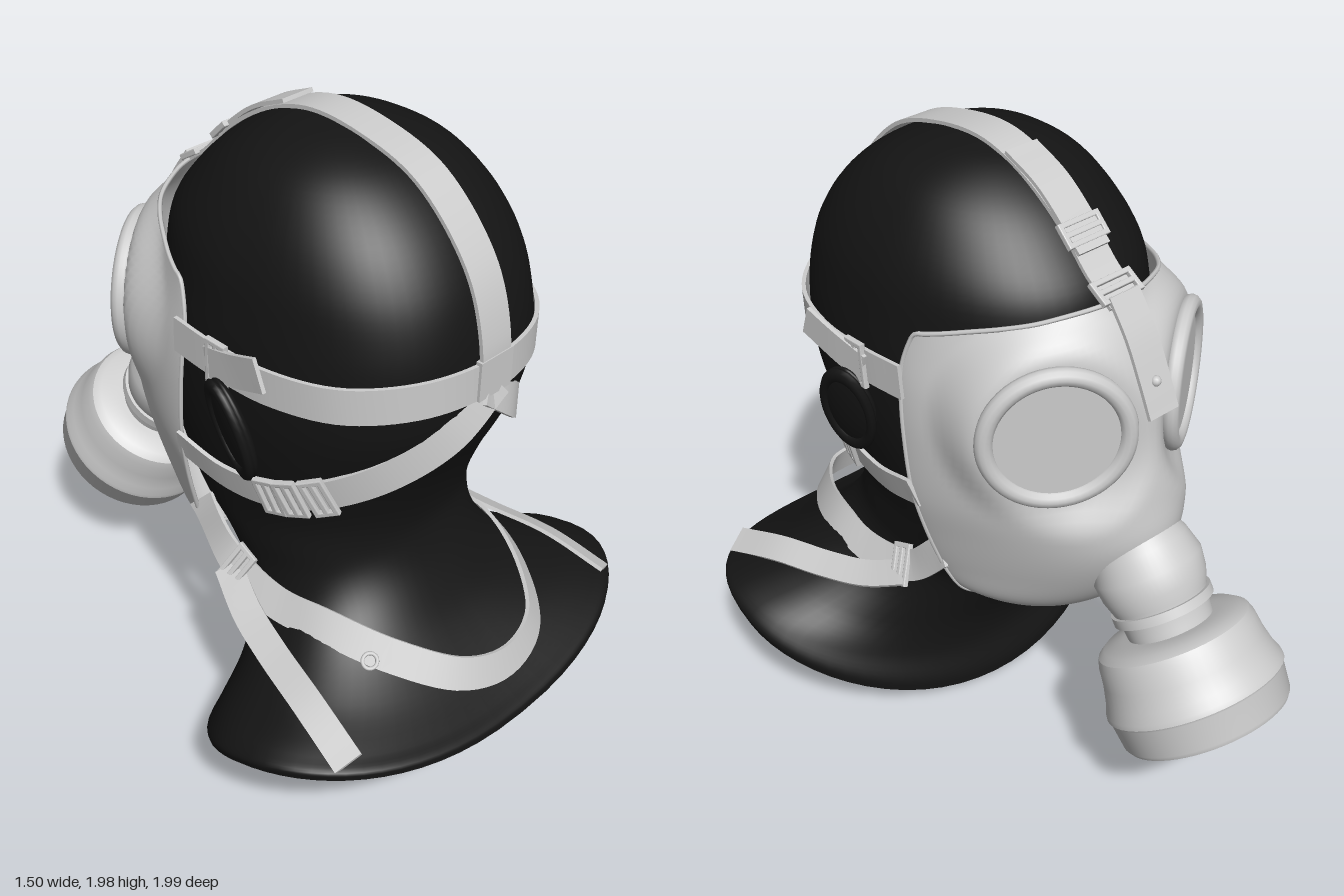
import * as THREE from 'three';
import { toCreasedNormals } from 'three/addons/utils/BufferGeometryUtils.js';

const V = (x, y, z) => new THREE.Vector3(x, y, z);
const grey = new THREE.MeshStandardMaterial({ color: 0xcccccc });
const greyThin = new THREE.MeshStandardMaterial({ color: 0xcccccc, side: THREE.DoubleSide });
const black = new THREE.MeshStandardMaterial({ color: 0x141414, side: THREE.DoubleSide });

function add(parent, name, geometry, material = grey) {
  const mesh = new THREE.Mesh(geometry, material);
  mesh.name = name;
  parent.add(mesh);
  return mesh;
}

// Skin over rows of points; rows run "down", columns run to the right seen from outside
function skin(rows, closed) {
  const n = rows[0].length, index = [];
  for (let i = 0; i < rows.length - 1; i++) {
    for (let j = 0; j < (closed ? n : n - 1); j++) {
      const k = (j + 1) % n, a = i * n, b = a + n;
      index.push(a + j, b + j, a + k, a + k, b + j, b + k);
    }
  }
  const g = new THREE.BufferGeometry().setFromPoints(rows.flat());
  g.setIndex(index);
  g.computeVertexNormals();
  return g;
}

// Smooth a few cross-sections into many rows
function smoothRows(sections, count) {
  const columns = sections[0].map((_, j) =>
    new THREE.CatmullRomCurve3(sections.map(s => s[j])).getPoints(count));
  return Array.from({ length: count + 1 }, (_, i) => columns.map(c => c[i]));
}

// Rectangular frame with a cross bar, in the xy plane (x along the strap)
function buckleGeometry(w, h) {
  const s = new THREE.Shape();
  const rect = (p, x0, x1, y) => p.moveTo(x0, -y).lineTo(x1, -y).lineTo(x1, y).lineTo(x0, y).closePath();
  rect(s, -w / 2, w / 2, h / 2);
  s.holes.push(rect(new THREE.Path(), -w / 2 + 0.01, -0.005, h / 2 - 0.01));
  s.holes.push(rect(new THREE.Path(), 0.005, w / 2 - 0.01, h / 2 - 0.01));
  return new THREE.ExtrudeGeometry(s, { depth: 0.012, bevelSize: 0.003, bevelThickness: 0.003, bevelSegments: 2 });
}

// Flat strap along a path, facing away from a centre, with buckles at given fractions
function strap(parent, name, points, width, centre, buckles = []) {
  const curve = new THREE.CatmullRomCurve3(points);
  const frame = u => {
    const p = curve.getPointAt(u), t = curve.getTangentAt(u);
    const n = p.clone().sub(centre);
    n.addScaledVector(t, -n.dot(t)).normalize();
    return { p, t, n, s: n.clone().cross(t) };
  };
  const count = points.length * 6, rows = [];
  for (let i = 0; i <= count; i++) {
    const { p, n, s } = frame(i / count);
    rows.push([[-1, 1], [1, 1], [1, -1], [-1, -1]].map(([a, b]) =>
      p.clone().addScaledVector(s, a * width / 2).addScaledVector(n, b * 0.006)));
  }
  const cap = u => Array(4).fill(curve.getPointAt(u));
  rows.unshift(cap(0));
  rows.push(cap(1));
  add(parent, name, toCreasedNormals(skin(rows, true), 0.7));
  for (const u of buckles) {
    const { p, t, n, s } = frame(u);
    const b = add(parent, name + 'Buckle', buckleGeometry(0.07, width + 0.03));
    b.quaternion.setFromRotationMatrix(new THREE.Matrix4().makeBasis(t, s, n));
    b.position.copy(p).addScaledVector(n, 0.004);
  }
}

function createBust(parent) {
  // back z, back y, front z, front y, half width, lift of the sides
  const rings = [
    [0.2, 1.975, 0.199, 1.975, 0.001, 0], [0.36, 1.95, 0.04, 1.945, 0.16, 0],
    [0.5, 1.895, -0.1, 1.87, 0.28, 0], [0.63, 1.79, -0.22, 1.76, 0.365, 0],
    [0.72, 1.66, -0.3, 1.65, 0.417, 0], [0.765, 1.53, -0.33, 1.5, 0.44, 0],
    [0.78, 1.4, -0.35, 1.4, 0.45, 0], [0.765, 1.27, -0.35, 1.2, 0.45, 0],
    [0.72, 1.15, -0.33, 1.05, 0.435, 0], [0.65, 1.0, -0.28, 0.9, 0.405, 0],
    [0.61, 0.88, -0.22, 0.75, 0.375, 0], [0.6, 0.8, -0.1, 0.65, 0.365, 0],
    [0.62, 0.72, -0.03, 0.56, 0.36, 0.01], [0.67, 0.62, 0.04, 0.47, 0.375, 0.045],
    [0.74, 0.52, 0.09, 0.36, 0.44, 0.08], [0.85, 0.42, 0.13, 0.25, 0.57, 0.11],
    [0.95, 0.36, 0.14, 0.15, 0.71, 0.14], [0.995, 0.335, 0.11, 0.04, 0.75, 0.17],
    [1.0, 0.315, 0.11, 0, 0.745, 0.17],
  ];
  // Round towards the face, squarer towards the back, open underneath
  const sections = rings.map(([zb, yb, zf, yf, w, lift]) => Array.from({ length: 64 }, (_, j) => {
    const a = j / 64 * Math.PI * 2, c0 = Math.cos(a), s0 = Math.sin(a), back = c0 > 0 ? 0.82 : 1;
    const c = Math.sign(c0) * Math.abs(c0) ** back, s = Math.sign(s0) * Math.abs(s0) ** back;
    return V(w * s, (yb + yf) / 2 + (yb - yf) / 2 * c + lift * s * s, (zb + zf) / 2 + (zb - zf) / 2 * c);
  }));
  add(parent, 'headAndShoulders', skin(smoothRows(sections, 100), true), black);

  // Ears
  for (const side of [1, -1]) {
    const ear = new THREE.Group();
    ear.name = 'ear';
    ear.position.set(side * 0.47, 1.205, 0.28);
    ear.rotation.set(-0.12, side * 0.3, side * -0.2);
    add(ear, 'earBody', new THREE.SphereGeometry(1, 24, 16), black).scale.set(0.03, 0.165, 0.095);
    const rim = add(ear, 'earRim', new THREE.TorusGeometry(0.082, 0.015, 8, 32), black);
    rim.rotation.y = Math.PI / 2;
    rim.scale.y = 1.75;
    rim.position.x = side * 0.015;
    parent.add(ear);
  }
}

function createMask(parent) {
  const lensCentre = V(0.25, 1.32, -0.37), lensNormal = V(0.55, 0, -0.835).normalize();

  // edge z, edge y, front z, front y, half width, pointedness
  const sections = [
    [0.02, 1.55, -0.355, 1.66, 0.42, 1.6], [0.055, 1.47, -0.42, 1.56, 0.437, 1.4], [0.055, 1.35, -0.475, 1.42, 0.452, 1.25],
    [0.045, 1.2, -0.5, 1.28, 0.457, 1.2], [0.03, 1.0, -0.54, 1.08, 0.445, 1.4], [0.015, 0.85, -0.555, 0.93, 0.41, 1.6],
    [0, 0.72, -0.49, 0.78, 0.37, 1.6], [-0.02, 0.62, -0.38, 0.645, 0.325, 1.4], [-0.04, 0.58, -0.29, 0.575, 0.27, 1.2],
    [-0.05, 0.56, -0.19, 0.553, 0.2, 1.2], [-0.06, 0.57, -0.1, 0.565, 0.1, 1.2],
  ].map(([ze, ye, zf, yf, w, point]) => Array.from({ length: 65 }, (_, j) => {
    const a = (j / 64 - 0.5) * Math.PI, c = Math.pow(Math.max(0, Math.cos(a)), point);
    return V(-w * Math.sin(a), ye + (yf - ye) * c, ze + (zf - ze) * c);
  }));
  const rows = smoothRows(sections, 60);

  // Flatten the rubber into a seat around each lens
  for (const p of rows.flat()) {
    const side = p.x < 0 ? -1 : 1, centred = Math.abs(p.x) < 1e-4;
    const q = V(p.x * side, p.y, p.z), toLens = lensCentre.clone().sub(q);
    const d = toLens.dot(lensNormal), r = Math.sqrt(Math.max(0, toLens.lengthSq() - d * d));
    q.addScaledVector(lensNormal, (d - 0.015) * (1 - THREE.MathUtils.smoothstep(r, 0.21, 0.34)));
    p.set(centred ? 0 : q.x * side, q.y, q.z);
  }
  add(parent, 'facepiece', skin(rows, false), greyThin);

  // Rolled edge along the brow and down both sides
  const sideRows = rows.slice(3, 54).filter((_, i) => i % 5 === 0);
  const edge = [...sideRows.map(r => r[0]).reverse(), ...rows[0].filter((_, j) => j % 4 === 0), ...sideRows.map(r => r[64])];
  add(parent, 'faceSealEdge', new THREE.TubeGeometry(new THREE.CatmullRomCurve3(edge), 200, 0.007, 6));

  // Eyepieces
  for (const side of [1, -1]) {
    const eye = new THREE.Group();
    eye.name = 'eyepiece';
    eye.position.set(lensCentre.x * side, lensCentre.y, lensCentre.z);
    eye.quaternion.setFromUnitVectors(V(0, 0, 1), V(lensNormal.x * side, 0, lensNormal.z));
    add(eye, 'lensRing', new THREE.TorusGeometry(0.203, 0.027, 12, 56));
    add(eye, 'lens', new THREE.CylinderGeometry(0.2, 0.2, 0.016, 48)).rotation.x = Math.PI / 2;
    parent.add(eye);
  }

  // Forehead tongue with rivet
  strap(parent, 'foreheadTab', [V(0, 1.68, -0.36), V(0, 1.58, -0.43), V(0, 1.47, -0.485), V(0, 1.37, -0.53)], 0.11, V(0, 1.3, 0.2));
  add(parent, 'foreheadRivet', new THREE.SphereGeometry(0.016, 12, 8)).position.set(0, 1.46, -0.495);
}

function createFilter(parent) {
  const filter = new THREE.Group();
  filter.name = 'filter';
  filter.position.set(0, 0.64, -0.615);
  filter.quaternion.setFromUnitVectors(V(0, 1, 0), V(0, -0.84, -0.55).normalize());
  parent.add(filter);
  const lathe = (name, pts) => add(filter, name,
    toCreasedNormals(new THREE.LatheGeometry(pts.map(p => new THREE.Vector2(...p)), 56), 0.6));

  lathe('snout', [[0.11, -0.36], [0.15, -0.28], [0.17, -0.21], [0.163, -0.15], [0.15, -0.11],
    [0.14, -0.08], [0.135, -0.03], [0.13, 0.02]]);
  lathe('hoseClamp', [[0.13, -0.1], [0.157, -0.1], [0.157, -0.07], [0.13, -0.07]]);
  add(filter, 'clampScrew', new THREE.BoxGeometry(0.06, 0.03, 0.03)).position.set(0, -0.085, -0.16);
  lathe('canister', [[0, -0.015], [0.15, -0.015], [0.215, -0.008], [0.238, 0.008], [0.248, 0.035], [0.255, 0.09],
    [0.268, 0.145], [0.28, 0.175], [0.282, 0.19], [0.276, 0.198], [0.266, 0.285], [0.256, 0.3],
    [0.21, 0.3], [0.195, 0.275], [0, 0.262]]);

  // Inlet face: radial ribs around a hub
  for (let i = 0; i < 12; i++) {
    const a = i / 12 * Math.PI * 2, out = V(Math.cos(a), 0, Math.sin(a));
    const rib = add(filter, 'inletRib', new THREE.CylinderGeometry(0.036, 0.012, 0.15, 4, 1));
    rib.quaternion.setFromUnitVectors(V(0, 1, 0), out);
    rib.position.copy(out).multiplyScalar(0.13).setY(0.262);
  }
  lathe('inletHub', [[0.065, 0.25], [0.065, 0.285], [0.052, 0.295], [0.045, 0.285], [0, 0.283]]);
}

function createHarness(parent) {
  const head = V(0, 1.35, 0.2), neck = V(0, 0.31, 0.35);
  const both = half => [...half, ...half.slice(0, -1).reverse().map(p => V(-p.x, p.y, p.z))];

  // Crown strap with its doubled free end
  strap(parent, 'crownStrap', [V(0, 1.34, 0.785), V(0, 1.5, 0.783), V(0, 1.7, 0.717), V(0, 1.89, 0.535), V(0, 1.96, 0.33),
    V(0, 1.972, 0.14), V(0, 1.915, -0.03), V(0, 1.82, -0.17), V(0, 1.71, -0.28), V(0, 1.65, -0.37)], 0.115, head, [0.86, 0.97]);
  strap(parent, 'crownStrapEnd', [V(0, 1.965, 0.05), V(0, 1.905, -0.08), V(0, 1.765, -0.245)], 0.115, head);
  add(parent, 'backLoop', new THREE.BoxGeometry(0.13, 0.12, 0.02)).position.set(0, 1.405, 0.786);

  // Brow band round the back of the head
  strap(parent, 'browBand', both([V(0.462, 1.4, 0.04), V(0.467, 1.39, 0.2), V(0.455, 1.385, 0.4), V(0.385, 1.39, 0.6),
    V(0.225, 1.4, 0.74), V(0, 1.4, 0.785)]), 0.11, V(0, 1.4, 0.2), [0.09, 0.91]);

  // Neck band under the nape
  strap(parent, 'neckBand', both([V(0.365, 0.76, 0.01), V(0.38, 0.62, 0.16), V(0.39, 0.58, 0.35), V(0.37, 0.59, 0.55),
    V(0.29, 0.55, 0.74), V(0.16, 0.5, 0.89), V(0, 0.475, 0.93)]), 0.1, neck, [0.1, 0.9]);
  const ring = add(parent, 'neckRing', new THREE.TorusGeometry(0.022, 0.006, 8, 20));
  ring.position.set(-0.36, 0.56, 0.71);
  ring.rotation.set(-0.7, -0.4, 0);

  for (const s of [1, -1]) {
    strap(parent, 'browStrapEnd', [V(s * 0.478, 1.38, 0.19), V(s * 0.49, 1.41, 0.3), V(s * 0.505, 1.455, 0.42)], 0.1, V(0, 1.4, 0.25));
    strap(parent, 'cheekStrap', [V(s * -0.02, 1.37, 0.785), V(s * 0.13, 1.25, 0.762), V(s * 0.265, 1.14, 0.665),
      V(s * 0.365, 1.05, 0.52), V(s * 0.412, 1.0, 0.38), V(s * 0.435, 0.98, 0.2), V(s * 0.45, 1.02, 0.02)],
    0.1, V(0, 1.1, 0.2), [0.54, 0.62, 0.68]);
    strap(parent, 'neckStrapEnd', [V(s * 0.395, 0.6, 0.16), V(s * 0.452, 0.54, 0.3), V(s * 0.497, 0.51, 0.45),
      V(s * 0.55, 0.485, 0.65), V(s * 0.59, 0.425, 0.85)], 0.09, V(s * 0.2, 0, 0.45));
  }
}

export function createModel() {
  const model = new THREE.Group();
  model.name = 'gasMaskBust';
  for (const [name, build] of [['bust', createBust], ['mask', createMask], ['filterUnit', createFilter], ['harness', createHarness]]) {
    const part = new THREE.Group();
    part.name = name;
    build(part);
    model.add(part);
  }
  return model;
}
